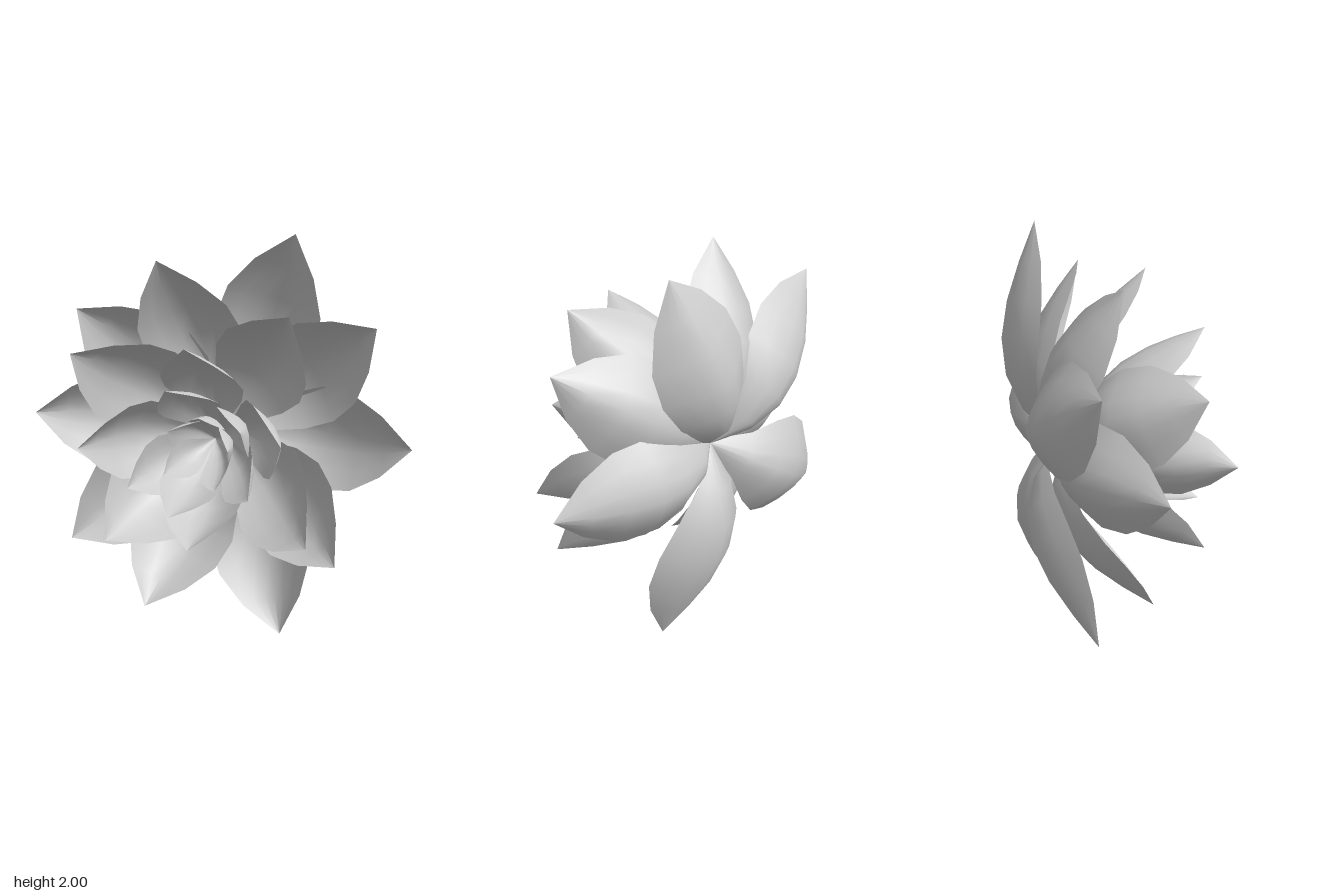
import * as THREE from 'three';

const material = new THREE.MeshStandardMaterial({ color: 0xcccccc, side: THREE.DoubleSide });

// Half-width of a petal along its length, as a share of the widest point
const outline = [0.06, 0.45, 0.82, 1, 0.93, 0.58, 0];
const ACROSS = 6;
const CUP = 0.54;

// One cupped petal, bowed outwards between base and tip, fullest near the base
function petalGeometry(base, tip, halfWidth, bow) {
  const chord = tip.clone().sub(base);
  const radial = new THREE.Vector3(chord.x, chord.y, 0).normalize();
  const side = new THREE.Vector3(-radial.y, radial.x, 0);
  const back = new THREE.Vector3().crossVectors(side, chord).normalize();
  if (back.z > 0) back.negate();

  const positions = [], indices = [];
  const rows = outline.length - 1;
  outline.forEach((share, i) => {
    const t = i / rows, w = halfWidth * share;
    for (let j = 0; j <= ACROSS; j++) {
      const u = (j / ACROSS) * 2 - 1;
      const depth = bow * Math.sin(Math.PI * t ** 0.8) - CUP * w * Math.abs(u) ** 1.6;
      const p = base.clone().addScaledVector(chord, t)
        .addScaledVector(side, w * u)
        .addScaledVector(back, depth);
      positions.push(p.x, p.y, p.z);
      if (i < rows && j < ACROSS) {
        const a = i * (ACROSS + 1) + j, b = a + ACROSS + 1;
        indices.push(a, b, a + 1);
        if (i < rows - 1) indices.push(a + 1, b, b + 1);
      }
    }
  });
  const geometry = new THREE.BufferGeometry();
  geometry.setAttribute('position', new THREE.Float32BufferAttribute(positions, 3));
  geometry.setIndex(indices);
  geometry.computeVertexNormals();
  return geometry;
}

// Rings of petals from the back to the heart, each with its petal tips
const rings = [
  { name: 'outerPetals', base: [-0.03, 1.015, -0.26], width: 0.26, bow: 0.215,
    tips: [[0.29, 2, -0.3], [0.89, 1.01, -0.19], [0.25, 0, -0.22], [-0.85, 0.42, -0.21], [-0.78, 1.62, -0.18]] },
  { name: 'secondPetals', base: [-0.04, 1.02, -0.23], width: 0.25, bow: 0.215,
    tips: [[0.73, 1.61, -0.03], [0.59, 0.51, 0.15], [-0.34, 0.23, 0.15], [-0.9, 1.15, 0.09], [-0.31, 1.89, 0]] },
  { name: 'thirdPetals', base: [-0.05, 1.03, -0.2], width: 0.24, bow: 0.18,
    tips: [[0.38, 1.69, 0.24], [0.5, 0.67, 0.39], [-0.46, 0.62, 0.36], [-0.63, 1.49, 0.31]] },
  { name: 'fourthPetals', base: [-0.05, 1.03, -0.17], width: 0.19, bow: 0.14,
    tips: [[-0.05, 1.56, 0.43], [0.38, 1.13, 0.38], [-0.04, 0.63, 0.43], [-0.54, 1.09, 0.48]] },
  { name: 'innerPetals', base: [-0.05, 1.03, -0.14], width: 0.14, bow: 0.1,
    tips: [[-0.15, 1.36, 0.4], [0.2, 1.19, 0.4], [0.23, 0.87, 0.38], [-0.13, 0.78, 0.43], [-0.34, 0.89, 0.38]] },
  { name: 'heartPetals', base: [-0.05, 1.03, -0.1], width: 0.085, bow: 0.06,
    tips: [[-0.02, 1.22, 0.3], [0.12, 1.08, 0.32], [0.05, 0.88, 0.3], [-0.19, 0.94, 0.3], [-0.17, 1.15, 0.3]] },
];

export function createModel() {
  const flower = new THREE.Group();
  flower.name = 'flower';
  for (const { name, base, width, bow, tips } of rings) {
    const ring = new THREE.Group();
    ring.name = name;
    for (const tip of tips) {
      const petal = new THREE.Mesh(
        petalGeometry(new THREE.Vector3(...base), new THREE.Vector3(...tip), width, bow), material);
      petal.name = 'petal';
      ring.add(petal);
    }
    flower.add(ring);
  }
  return flower;
}
